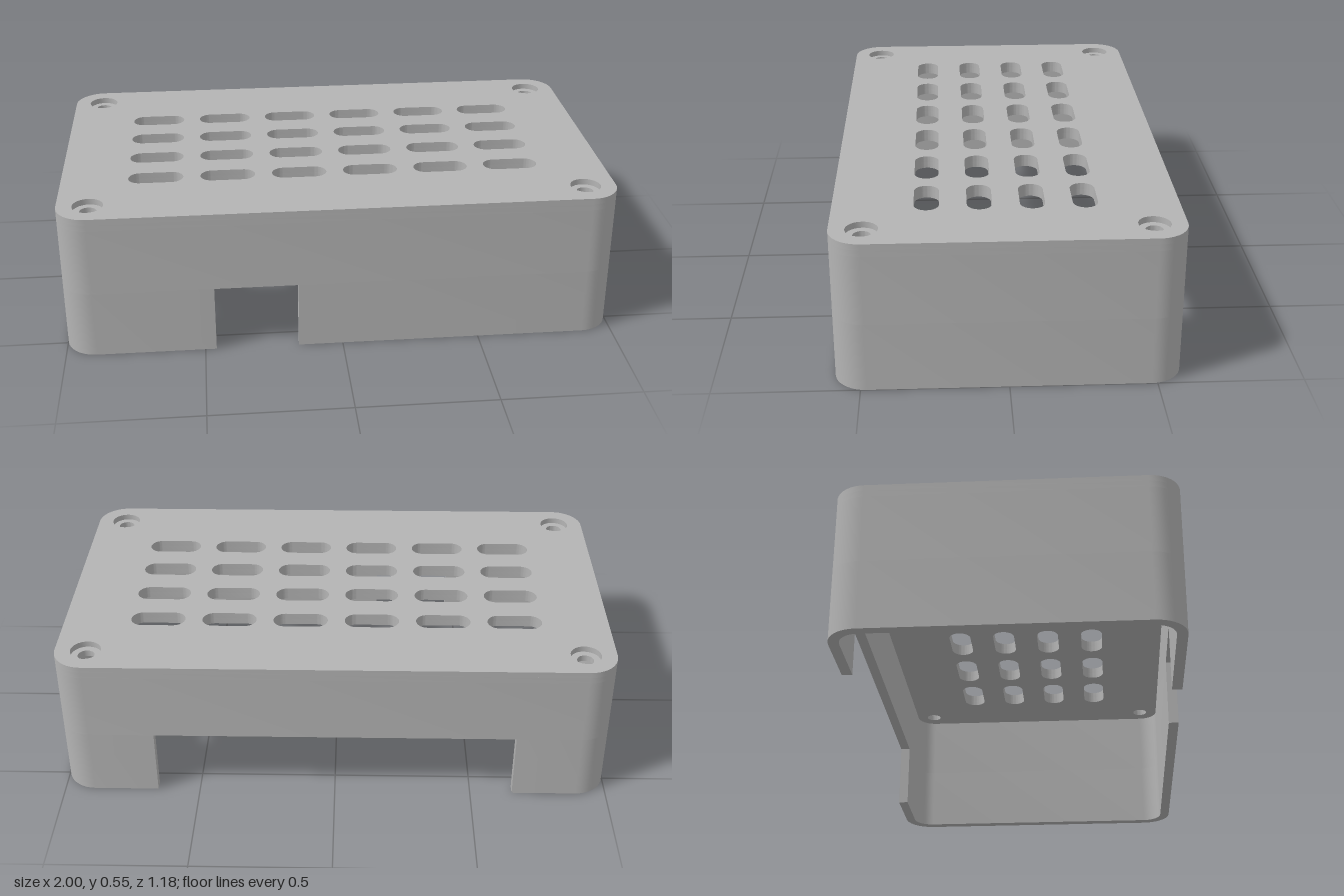
import * as THREE from 'three';
import { toCreasedNormals } from 'three/addons/utils/BufferGeometryUtils.js';

const HALF_X = 1, HALF_Z = 0.59, HEIGHT = 0.545;
const CORNER = 0.11, WALL = 0.037, PLATE = 0.045, BORE_DEPTH = 0.022;
const NOTCH_TOP = 0.25;

// Points round the +x end of the case, front corner then back corner (shape y = -z)
function endPoints(inset) {
  const r = CORNER - inset, n = 10, points = [];
  for (const [cy, start] of [[CORNER - HALF_Z, -Math.PI / 2], [HALF_Z - CORNER, 0]]) {
    for (let i = 0; i <= n; i++) {
      const a = start + (i / n) * Math.PI / 2;
      points.push(new THREE.Vector2(HALF_X - CORNER + r * Math.cos(a), cy + r * Math.sin(a)));
    }
  }
  return points;
}

const mirrorX = (points) => points.map((p) => new THREE.Vector2(-p.x, p.y));

// Closed rounded rectangle, pulled in by inset
function outline(inset) {
  const end = endPoints(inset);
  return [...end, ...mirrorX(end).reverse()];
}

// C-shaped wall round one end, reaching frontX on the front and backX on the back
function endWall(side, frontX, backX) {
  const v = (x, y) => new THREE.Vector2(x, y);
  const points = [
    v(frontX, -HALF_Z), ...endPoints(0), v(backX, HALF_Z),
    v(backX, HALF_Z - WALL), ...endPoints(WALL).reverse(), v(frontX, WALL - HALF_Z),
  ];
  return new THREE.Shape(side > 0 ? points : mirrorX(points));
}

function circleHole(x, y, r) {
  return new THREE.Path().absarc(x, y, r, 0, Math.PI * 2, true);
}

function slotHole(x, y, length, width) {
  const r = width / 2, d = length / 2 - r;
  const path = new THREE.Path();
  path.absarc(x + d, y, r, -Math.PI / 2, Math.PI / 2, false);
  path.absarc(x - d, y, r, Math.PI / 2, Math.PI * 1.5, false);
  path.closePath();
  return path;
}

// Lid layer with vent slots and a screw hole in each corner
function lidShape(screwRadius) {
  const shape = new THREE.Shape(outline(0));
  for (let col = 0; col < 6; col++) {
    for (let row = 0; row < 4; row++) {
      shape.holes.push(slotHole((col - 2.5) * 0.2625, (row - 1.5) * 0.18, 0.2, 0.086));
    }
  }
  for (const sx of [-1, 1]) {
    for (const sz of [-1, 1]) shape.holes.push(circleHole(sx * 0.889, sz * 0.48, screwRadius));
  }
  return shape;
}

export function createModel() {
  const group = new THREE.Group();
  group.name = 'ventedCase';
  const greyPlastic = new THREE.MeshStandardMaterial({ color: 0xb4b4b4 });
  greyPlastic.name = 'greyPlastic';

  const addLayer = (name, shape, bottom, top) => {
    let geometry = new THREE.ExtrudeGeometry(shape, {
      depth: top - bottom, bevelEnabled: false, curveSegments: 14,
    });
    geometry.rotateX(-Math.PI / 2);
    geometry.translate(0, bottom, 0);
    geometry = toCreasedNormals(geometry, Math.PI / 6);
    const mesh = new THREE.Mesh(geometry, greyPlastic);
    mesh.name = name;
    group.add(mesh);
  };

  // Lower walls, leaving a small front notch and a wide back notch
  addLayer('lowerWallLeft', endWall(1, -0.16, 0.655), 0, NOTCH_TOP);
  addLayer('lowerWallRight', endWall(-1, 0.46, 0.655), 0, NOTCH_TOP);

  // Unbroken wall above the notches
  const ring = new THREE.Shape(outline(0));
  ring.holes.push(new THREE.Path(outline(WALL)));
  addLayer('upperWall', ring, NOTCH_TOP, HEIGHT - PLATE);

  // Lid in two layers, so the screw holes are counterbored
  addLayer('lidBase', lidShape(0.03), HEIGHT - PLATE, HEIGHT - BORE_DEPTH);
  addLayer('lidTop', lidShape(0.055), HEIGHT - BORE_DEPTH, HEIGHT);

  return group;
}
